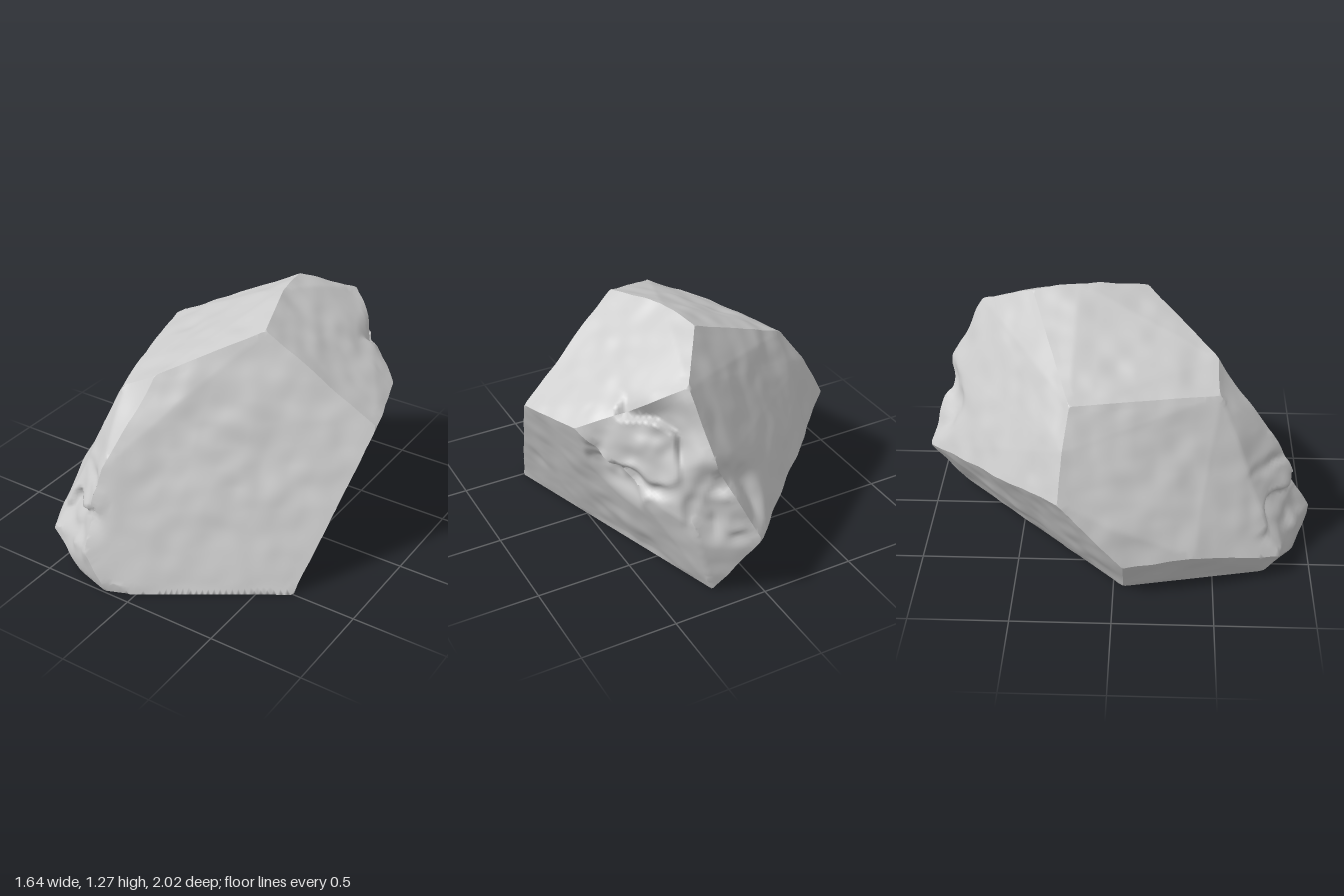
import * as THREE from 'three';
import { mergeVertices } from 'three/addons/utils/BufferGeometryUtils.js';
import { ConvexGeometry } from 'three/addons/geometries/ConvexGeometry.js';

// Main corners of the boulder
const CORNERS = [
  // crest and flat top
  [0.1, 1.255, -0.44], [0.15, 1.275, -0.2], [0.26, 1.22, 0.15],
  [-0.54, 0.95, -0.22], [-0.15, 1.01, 0.51], [-0.34, 0.91, 0.52],
  // right shoulder and broken back corner
  [0.82, 0.78, 0], [0.71, 0.82, -0.37], [0.29, 1.12, -0.73], [0.45, 1.01, -0.61],
  [0.23, 0.75, -0.92], [0.54, 0.57, -0.63], [0.33, 0.42, -0.87], [0.04, 0.35, -1.01],
  // left flank
  [-0.67, 0.77, -0.25], [-0.79, 0.54, -0.27], [-0.825, 0.2, 0.05], [-0.76, 0.22, 0.4],
  // front foot
  [-0.26, 0.6, 0.82], [-0.28, 0.36, 0.95], [-0.25, 0.2, 1.005], [-0.16, 0.06, 1.0],
  [-0.45, 0.18, 0.88], [-0.6, 0.12, 0.84],
  // base outline
  [0.66, 0, 0.5], [0.22, 0, -0.86], [-0.71, 0, 0.05], [-0.56, 0, 0.76],
  [-0.35, 0, 0.93], [-0.15, 0, 0.99], [0.0, 0, 0.93],
].map((c) => new THREE.Vector3(...c));

// Spots where the stone is chipped: centre, radius, depth
const CHIPS = [
  [new THREE.Vector3(0.52, 0.74, -0.6), 0.34, 0.09],
  [new THREE.Vector3(0.4, 0.9, -0.74), 0.2, 0.04],
  [new THREE.Vector3(0.2, 0.55, -0.93), 0.27, 0.06],
  [new THREE.Vector3(-0.42, 0.33, 0.84), 0.28, 0.07],
];

const hash = (x, y, z) => {
  const s = Math.sin(x * 127.1 + y * 311.7 + z * 74.7) * 43758.5453;
  return s - Math.floor(s);
};

// Smooth value noise, 0 to 1
function noise(p, scale) {
  const q = [p.x * scale, p.y * scale, p.z * scale];
  const i = q.map(Math.floor);
  const f = q.map((v, k) => { const t = v - i[k]; return t * t * (3 - 2 * t); });
  let sum = 0;
  for (let k = 0; k < 8; k++) {
    const o = [k & 1, (k >> 1) & 1, k >> 2];
    const w = o.reduce((a, bit, n) => a * (bit ? f[n] : 1 - f[n]), 1);
    sum += w * hash(i[0] + o[0], i[1] + o[1], i[2] + o[2]);
  }
  return sum;
}

// Flat facets of the hull, as planes seen from the centre
function facetPlanes(centre) {
  const hull = new ConvexGeometry(CORNERS);
  const pos = hull.attributes.position;
  const planes = [];
  for (let i = 0; i < pos.count; i += 3) {
    const [a, b, c] = [0, 1, 2].map((k) => new THREE.Vector3().fromBufferAttribute(pos, i + k));
    const n = b.clone().sub(a).cross(c.clone().sub(a));
    if (n.length() < 1e-5) continue;
    n.normalize();
    planes.push({ n, d: n.dot(a.sub(centre)) });
  }
  return planes;
}

// Point on the faceted stone in a direction, pulled onto a sharp edge when close to one
function facetPoint(dir, planes, p) {
  let r = Infinity;
  let face = null;
  for (const plane of planes) {
    const k = plane.n.dot(dir);
    if (k > 1e-4 && plane.d / k < r) {
      r = plane.d / k;
      face = plane;
    }
  }
  p.copy(dir).multiplyScalar(r);
  let best = 0.022;
  let shift = null;
  for (const { n, d } of planes) {
    const c = n.dot(face.n);
    if (c > 0.88) continue;
    const along = n.clone().addScaledVector(face.n, -c);
    const gap = (d - n.dot(p)) / along.length();
    if (gap < best) {
      best = gap;
      shift = along.setLength(gap);
    }
  }
  if (shift) p.add(shift);
}

function boulderGeometry() {
  const centre = new THREE.Vector3(0, 0.5, 0);
  const planes = facetPlanes(centre);
  let geo = new THREE.IcosahedronGeometry(1, 64);
  geo.deleteAttribute('normal');
  geo.deleteAttribute('uv');
  geo = mergeVertices(geo, 1e-5);

  const pos = geo.attributes.position;
  const dir = new THREE.Vector3();
  const p = new THREE.Vector3();
  for (let i = 0; i < pos.count; i++) {
    dir.fromBufferAttribute(pos, i).normalize();
    facetPoint(dir, planes, p);
    p.add(centre);
    // Gentle weathering everywhere, ragged breaks at the chips
    if (p.y > 0.002) {
      let dent = 0.02 * (noise(p, 4.5) - 0.5) + 0.014 * (noise(p, 10) - 0.5);
      for (const [spot, radius, depth] of CHIPS) {
        const near = 1 - THREE.MathUtils.smoothstep(p.distanceTo(spot), radius * 0.45, radius);
        const rough = THREE.MathUtils.smoothstep(noise(p, 7), 0.38, 0.6);
        dent -= near * depth * (0.75 * rough + 0.25 * noise(p, 15));
      }
      p.addScaledVector(dir, dent * Math.min(1, p.y / 0.04));
    }
    pos.setXYZ(i, p.x, Math.max(0, p.y), p.z);
  }
  geo.computeVertexNormals();
  return geo;
}

export function createModel() {
  const group = new THREE.Group();
  group.name = 'rock';
  const boulder = new THREE.Mesh(
    boulderGeometry(),
    new THREE.MeshStandardMaterial({ color: 0xcccccc }),
  );
  boulder.name = 'boulder';
  group.add(boulder);
  return group;
}
